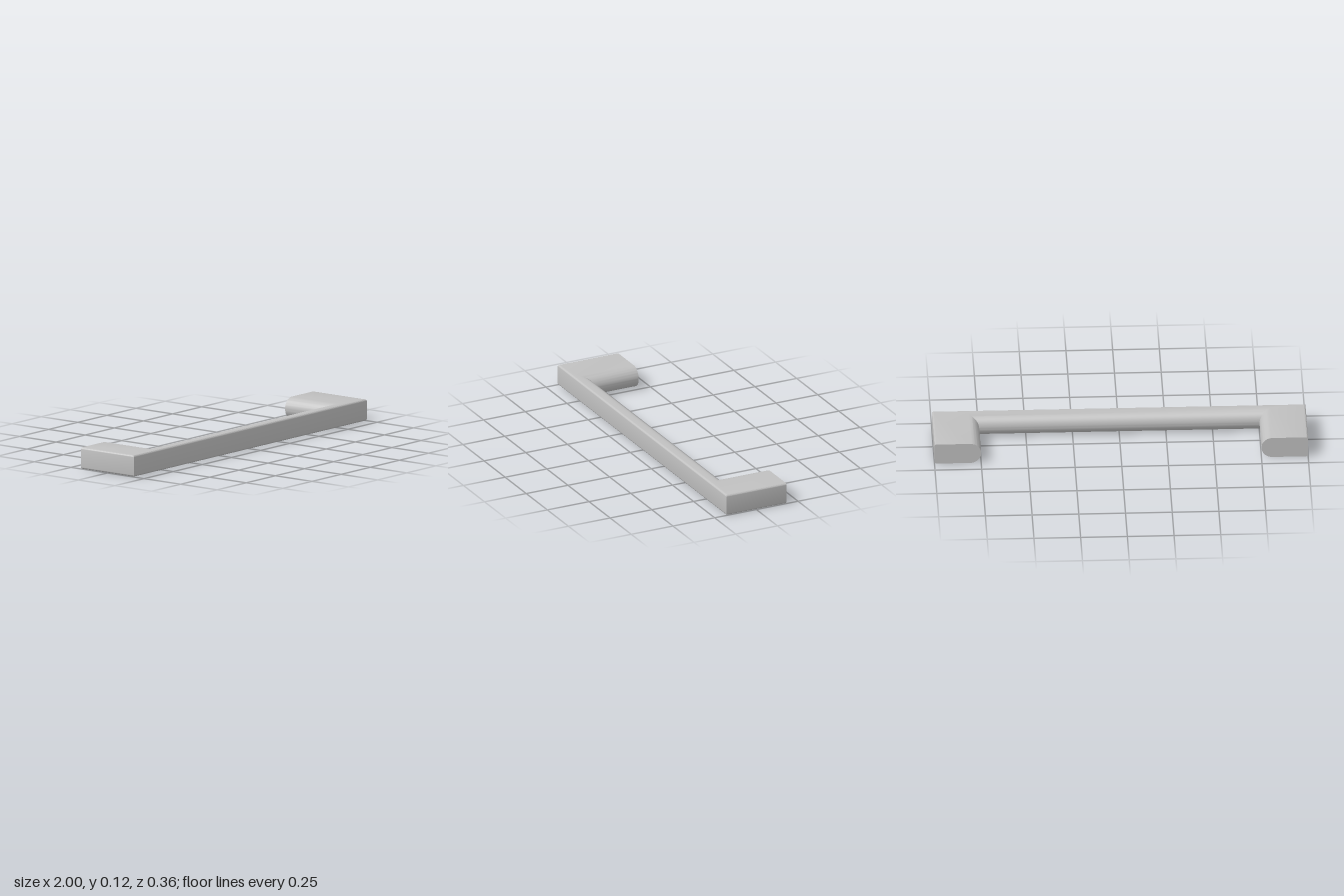
import * as THREE from 'three';
import { toCreasedNormals } from 'three/addons/utils/BufferGeometryUtils.js';

const H = 0.117;      // bar height
const EDGE = 0.01;    // small rounding on the outer edges
const DEPTH = 0.18;   // half depth
const GRIP_IN = 0.085; // inner z of the grip
const FOOT_IN = 0.75; // inner x of the feet

// Cross-section: outer side with small rounded edges, inner side a full half round.
// Each point is an inset from the outer or inner side, plus a height.
function crossSection() {
  const points = [];
  const arc = (side, r, cy, from, to, steps) => {
    for (let i = 0; i <= steps; i++) {
      const a = from + (to - from) * i / steps;
      points.push({ side, inset: r - r * Math.cos(a), y: cy + r * Math.sin(a) });
    }
  };
  arc('outer', EDGE, EDGE, -Math.PI / 2, 0, 4);
  arc('outer', EDGE, H - EDGE, 0, Math.PI / 2, 4);
  arc('inner', H / 2, H / 2, Math.PI / 2, -Math.PI / 2, 24);
  return points;
}

// Sweep the section around the U with mitred corners and flat ends.
function handleGeometry() {
  const section = crossSection();
  const n = section.length;
  const stations = [[1, false], [1, true], [-1, true], [-1, false]];
  const rings = stations.map(([sign, corner]) => section.map(({ side, inset, y }) => {
    const outer = side === 'outer';
    const x = outer ? 1 - inset : FOOT_IN + inset;
    const z = outer ? DEPTH - inset : GRIP_IN + inset;
    return [sign * x, y, corner ? z : -DEPTH];
  }));
  const pos = [];
  const tri = (a, b, c) => pos.push(...a, ...b, ...c);
  for (let s = 0; s < 3; s++) {
    for (let i = 0; i < n; i++) {
      const j = (i + 1) % n;
      const a = rings[s][i], b = rings[s][j], c = rings[s + 1][i], d = rings[s + 1][j];
      tri(a, b, c);
      tri(b, d, c);
    }
  }
  // Flat mounting faces
  for (let i = 1; i < n - 1; i++) {
    tri(rings[0][0], rings[0][i + 1], rings[0][i]);
    tri(rings[3][0], rings[3][i], rings[3][i + 1]);
  }
  const geometry = new THREE.BufferGeometry();
  geometry.setAttribute('position', new THREE.Float32BufferAttribute(pos, 3));
  return toCreasedNormals(geometry, Math.PI / 6);
}

export function createModel() {
  const group = new THREE.Group();
  group.name = 'pullHandle';
  const metal = new THREE.MeshStandardMaterial({ color: 0xc0c0c0 });
  metal.name = 'satinGrey';
  const handle = new THREE.Mesh(handleGeometry(), metal);
  handle.name = 'handleBar';
  group.add(handle);
  return group;
}
